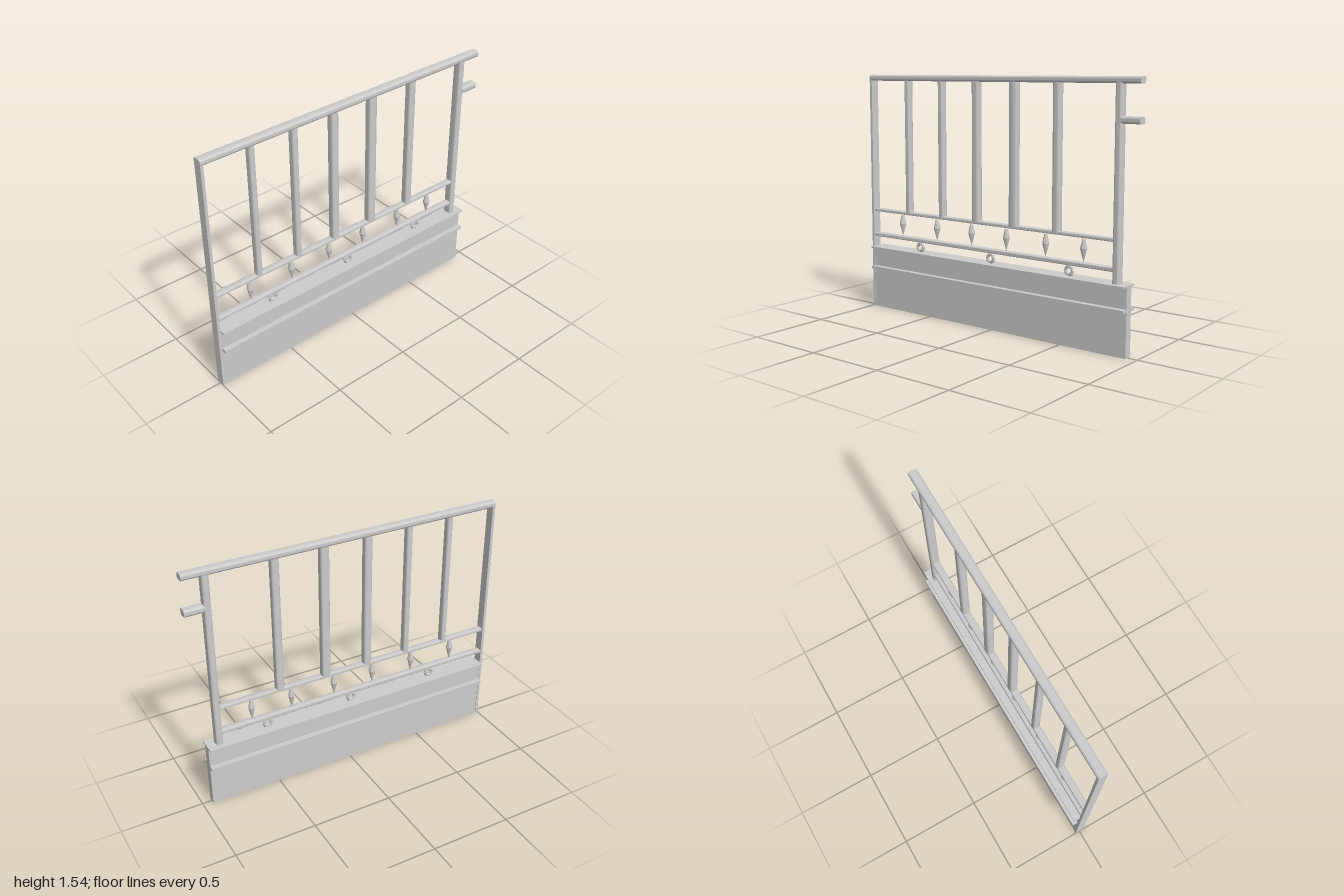
import * as THREE from 'three';
import { toCreasedNormals } from 'three/addons/utils/BufferGeometryUtils.js';

const DEPTH = 0.056;

export function createModel() {
  const fence = new THREE.Group();
  fence.name = 'railing';
  const material = new THREE.MeshStandardMaterial({ color: 0xcccccc });
  const facetedMaterial = new THREE.MeshStandardMaterial({ color: 0xcccccc, flatShading: true });

  function add(name, geometry, x, y, z = 0, mat = material) {
    const mesh = new THREE.Mesh(geometry, mat);
    mesh.name = name;
    mesh.position.set(x, y, z);
    fence.add(mesh);
    return mesh;
  }

  // Box given by its x and y limits and its depth
  function box(name, x0, x1, y0, y1, depth) {
    return add(name, new THREE.BoxGeometry(x1 - x0, y1 - y0, depth), (x0 + x1) / 2, (y0 + y1) / 2);
  }

  // Bar with softened long edges: section w by d, extruded along its length
  function softBar(w, d, length, r) {
    const a = w / 2, b = d / 2;
    const s = new THREE.Shape();
    s.moveTo(-a + r, -b);
    s.lineTo(a - r, -b);
    s.quadraticCurveTo(a, -b, a, -b + r);
    s.lineTo(a, b - r);
    s.quadraticCurveTo(a, b, a - r, b);
    s.lineTo(-a + r, b);
    s.quadraticCurveTo(-a, b, -a, b - r);
    s.lineTo(-a, -b + r);
    s.quadraticCurveTo(-a, -b, -a + r, -b);
    const g = new THREE.ExtrudeGeometry(s, { depth: length, bevelEnabled: false, curveSegments: 4 });
    return toCreasedNormals(g, 0.7);
  }

  // Horizontal bar running along x
  function rail(name, x0, x1, y0, y1, depth, r) {
    const g = softBar(depth, y1 - y0, x1 - x0, r).rotateY(Math.PI / 2);
    return add(name, g, x0, (y0 + y1) / 2);
  }

  // Vertical bar running along y
  function upright(name, x0, x1, y0, y1, depth, r) {
    const g = softBar(x1 - x0, depth, y1 - y0, r).rotateX(-Math.PI / 2);
    return add(name, g, (x0 + x1) / 2, y0);
  }

  // Base panel with two projecting ledges
  box('basePanel', -0.985, 0.94, 0, 0.4, 0.05);
  box('topLedge', -0.98, 0.94, 0.4, 0.41, 0.118);
  box('lowerLedge', -0.98, 0.94, 0.26, 0.278, 0.118);

  // End posts
  box('rightPost', -1, -0.982, 0, 1.51, DEPTH);
  upright('leftPost', 0.845, 0.886, 0.41, 1.51, DEPTH, 0.012);

  // Rails and the short stub beyond the post
  rail('handrail', -1, 1, 1.502, 1.54, DEPTH, 0.014);
  rail('stubRail', 0.88, 1, 1.288, 1.328, DEPTH, 0.014);
  rail('middleRail', -0.985, 0.85, 0.642, 0.662, 0.046, 0.009);
  rail('bottomRail', -0.985, 0.85, 0.474, 0.5, 0.046, 0.011);

  // Balusters, slightly uneven in width
  for (const [x, w] of [[-0.682, 0.036], [-0.401, 0.038], [-0.125, 0.05], [0.157, 0.056], [0.462, 0.048]]) {
    upright('baluster', x - w / 2, x + w / 2, 0.655, 1.51, 0.05, 0.016);
  }

  // Spindle drops between the middle and bottom rails
  const spindle = new THREE.LatheGeometry(
    [[0, 0], [0.021, 0.082], [0.009, 0.136], [0, 0.14]].map(([r, y]) => new THREE.Vector2(r, y)), 8);
  for (const x of [-0.746, -0.45, -0.168, 0.1, 0.386, 0.645]) {
    add('spindle', spindle, x, 0.498, 0, facetedMaterial);
  }

  // Small rings between the bottom rail and the base
  const ring = new THREE.TorusGeometry(0.024, 0.011, 6, 8);
  for (const x of [-0.593, -0.02, 0.548]) {
    add('ring', ring, x, 0.441, 0, facetedMaterial);
  }

  return fence;
}
